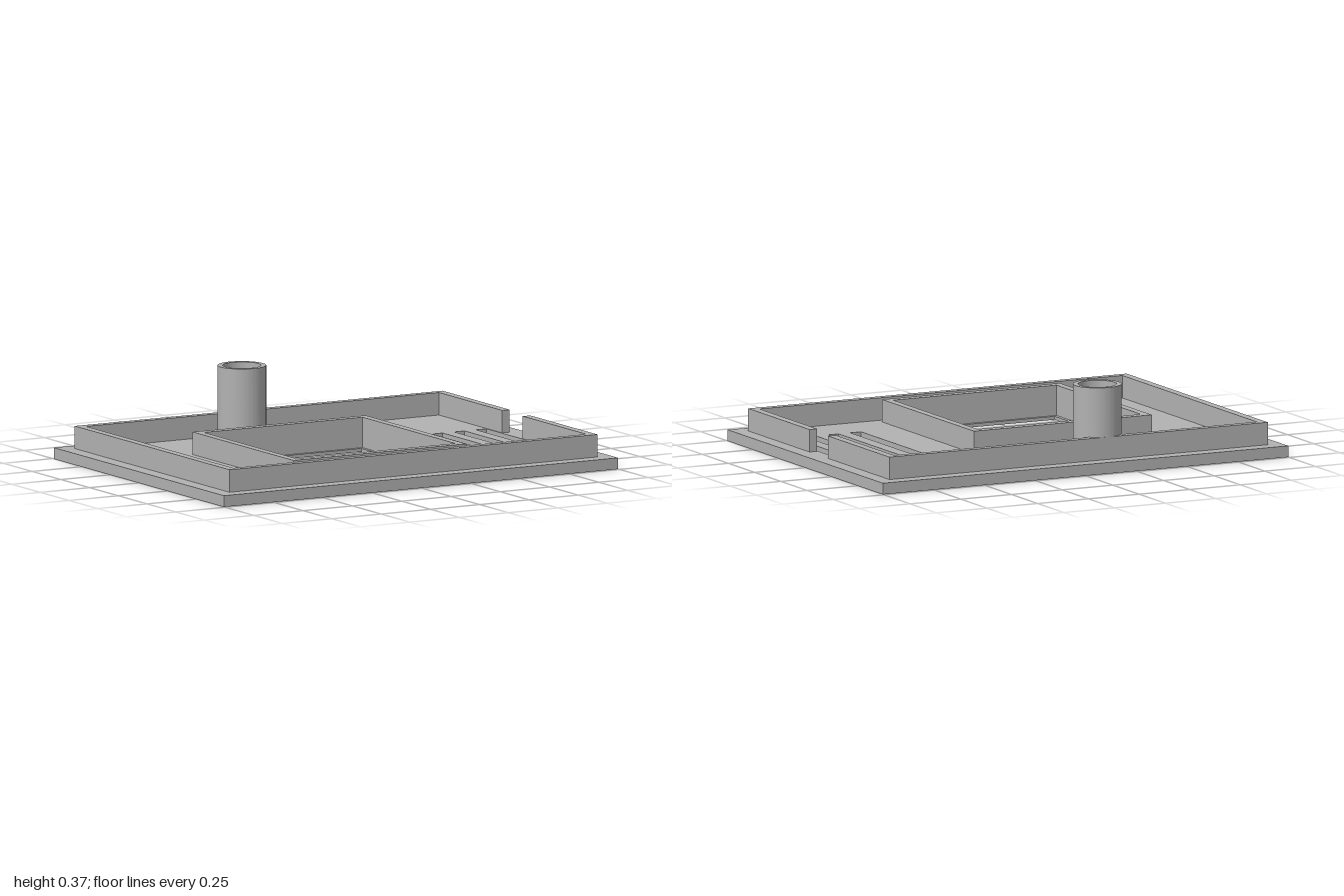
import * as THREE from 'three';
import { toCreasedNormals } from 'three/addons/utils/BufferGeometryUtils.js';

const TUBE = { x: -0.147, z: -0.567, outer: 0.107, inner: 0.084 };

// Rectangle in plan; z is flipped because the shapes are laid flat.
function rect(Type, x0, x1, z0, z1) {
  const s = new Type();
  s.moveTo(x0, -z1).lineTo(x1, -z1).lineTo(x1, -z0).lineTo(x0, -z0).closePath();
  return s;
}

function circle(Type, r) {
  const s = new Type();
  s.absarc(TUBE.x, -TUBE.z, r, 0, Math.PI * 2, false);
  return s;
}

export function createModel() {
  const group = new THREE.Group();
  const grey = new THREE.MeshStandardMaterial({ color: 0xb2b2b2 });
  grey.name = 'plain grey';

  // Raise a plan shape from y0 to y1
  function slab(name, shape, y0, y1) {
    const geo = new THREE.ExtrudeGeometry(shape, { depth: y1 - y0, bevelEnabled: false, curveSegments: 48 });
    geo.rotateX(-Math.PI / 2);
    geo.translate(0, y0, 0);
    const mesh = new THREE.Mesh(toCreasedNormals(geo, 0.5), grey);
    mesh.name = name;
    group.add(mesh);
  }

  const opening = [-0.513, 0.26, -0.225, 0.547];
  const recess = [-0.53, 0.275, -0.241, 0.563];
  const ledgeY = 0.015, plateY = 0.05, rimY = 0.15;

  // Base plate in two layers, leaving a small ledge around the window
  function plate(windowRect) {
    const s = rect(THREE.Shape, -1, 1, -0.74, 0.74);
    s.holes.push(rect(THREE.Path, ...windowRect), circle(THREE.Path, TUBE.inner));
    for (let i = 0; i < 4; i++) {
      const x = 0.504 + i * 0.111;
      s.holes.push(rect(THREE.Path, x, x + 0.053, -0.218, 0.427));
    }
    return s;
  }
  slab('windowLedgePlate', plate(opening), 0, ledgeY);
  slab('basePlate', plate(recess), ledgeY, plateY);

  // Rim with a gap on one side and a scallop where the tube bore meets it
  const X = 0.933, Z = 0.674, xi = 0.895, zi = 0.64, gap = 0.089;
  const a = Math.asin((zi + TUBE.z) / TUBE.inner);
  const rim = new THREE.Shape();
  rim.moveTo(X, gap).lineTo(X, Z).lineTo(-X, Z).lineTo(-X, -Z).lineTo(X, -Z).lineTo(X, -gap);
  rim.lineTo(xi, -gap).lineTo(xi, -zi).lineTo(-xi, -zi).lineTo(-xi, zi);
  rim.absarc(TUBE.x, -TUBE.z, TUBE.inner, Math.PI - a, a, true);
  rim.lineTo(xi, zi).lineTo(xi, gap).closePath();
  slab('rim', rim, plateY, rimY);

  // Raised frame around the window
  const frame = rect(THREE.Shape, -0.566, 0.311, -0.278, 0.6);
  frame.holes.push(rect(THREE.Path, ...recess));
  slab('windowFrame', frame, plateY, rimY);

  // Hollow upright tube
  const tube = circle(THREE.Shape, TUBE.outer);
  tube.holes.push(circle(THREE.Path, TUBE.inner));
  slab('tube', tube, plateY, 0.37);

  return group;
}
